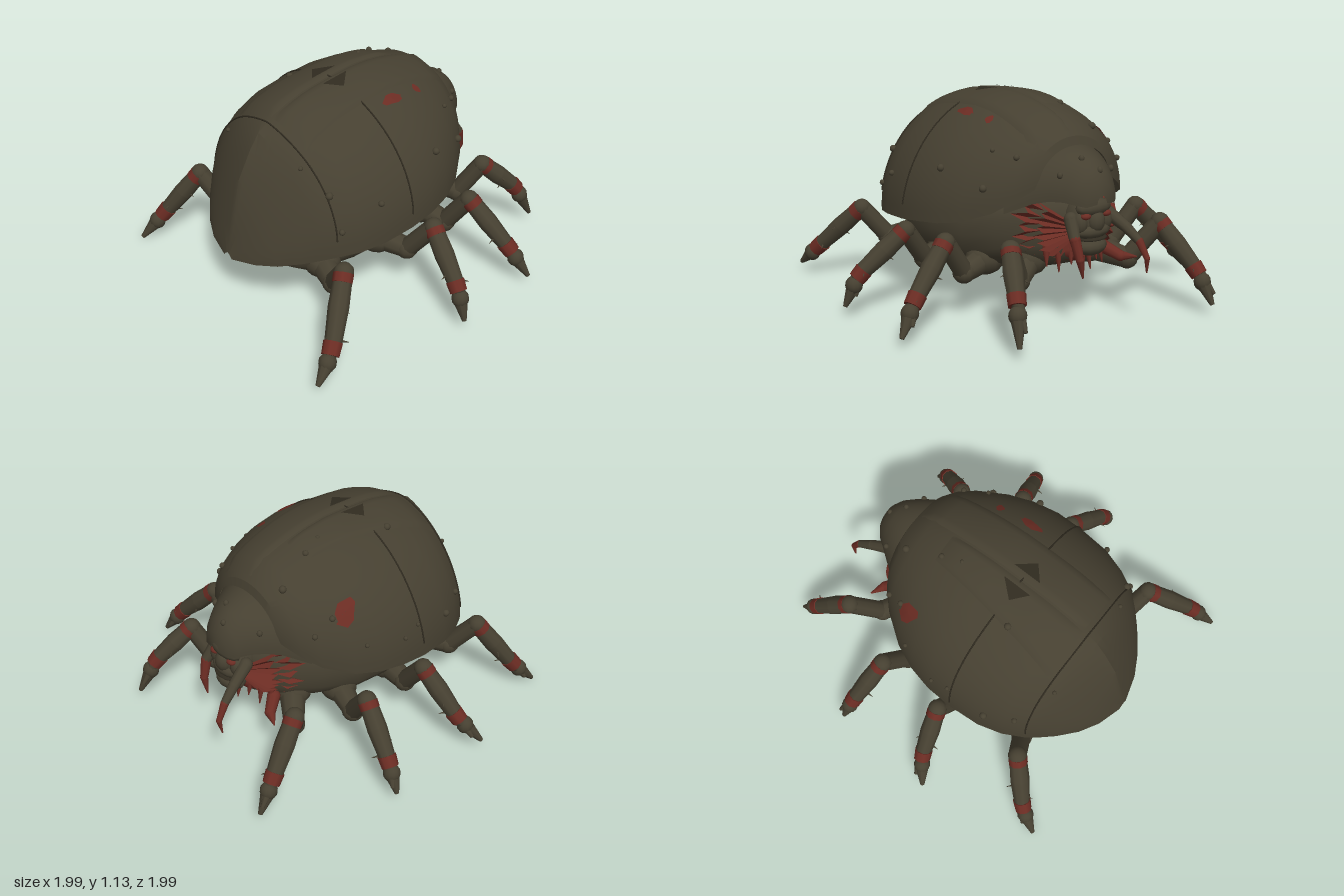
import * as THREE from 'three';
import { toCreasedNormals } from 'three/addons/utils/BufferGeometryUtils.js';

const paint = (name, color, side = THREE.DoubleSide) => {
  const m = new THREE.MeshStandardMaterial({ color, side });
  m.name = name;
  return m;
};
const V = (x, y, z) => new THREE.Vector3(x, y, z);

// Shell sections: x, half width, rim height, top height, pointedness
const SHELL = [
  [-0.88, 0.03, 0.32, 0.35, 0.7], [-0.84, 0.17, 0.34, 0.52, 0.65], [-0.78, 0.28, 0.36, 0.75, 0.55],
  [-0.7, 0.38, 0.39, 0.89, 0.4], [-0.64, 0.44, 0.41, 0.97, 0.22], [-0.57, 0.5, 0.43, 1.01, 0.06],
  [-0.46, 0.56, 0.44, 1.055, 0.04], [-0.33, 0.6, 0.455, 1.09, 0.04], [-0.15, 0.615, 0.47, 1.11, 0.04],
  [0, 0.61, 0.49, 1.12, 0.04], [0.14, 0.58, 0.505, 1.11, 0.04], [0.27, 0.525, 0.53, 1.085, 0.04],
  [0.41, 0.425, 0.59, 1.045, 0.03], [0.48, 0.35, 0.65, 1.0, 0.02], [0.525, 0.27, 0.7, 0.955, 0],
  [0.54, 0.23, 0.72, 0.91, 0],
];
const HOOD = [
  [0.42, 0.36, 0.58, 0.92, 0], [0.53, 0.26, 0.64, 0.91, 0], [0.6, 0.21, 0.66, 0.885, 0],
  [0.66, 0.165, 0.66, 0.86, 0], [0.71, 0.13, 0.65, 0.815, 0], [0.745, 0.09, 0.64, 0.76, 0],
  [0.758, 0.03, 0.65, 0.69, 0],
];
// Belly sections: x, half width, bottom, top
const BELLY = [
  [-0.64, 0.02, 0.32, 0.4], [-0.63, 0.28, 0.21, 0.48], [-0.55, 0.36, 0.165, 0.55], [-0.35, 0.43, 0.17, 0.6],
  [-0.1, 0.46, 0.18, 0.62], [0.15, 0.44, 0.2, 0.64], [0.35, 0.37, 0.24, 0.68], [0.5, 0.27, 0.28, 0.68],
  [0.6, 0.16, 0.33, 0.66], [0.63, 0.02, 0.45, 0.52],
];

const arch = ([x, w, rim, top, k], a) =>
  V(x, rim + (top - rim) * THREE.MathUtils.lerp(Math.cos(a), 1 - Math.abs(Math.sin(a)), k), w * Math.sin(a));

// Point on the shell above (x, z)
function onShell(x, z, lift = 0) {
  let i = 0;
  while (i < SHELL.length - 2 && SHELL[i + 1][0] < x) i++;
  const t = (x - SHELL[i][0]) / (SHELL[i + 1][0] - SHELL[i][0]);
  const s = SHELL[i].map((v, n) => THREE.MathUtils.lerp(v, SHELL[i + 1][n], t));
  const p = arch(s, Math.asin(THREE.MathUtils.clamp(z / s[1], -1, 1)));
  return p.addScaledVector(V(p.x * 0.5, p.y - 0.45, p.z).normalize(), lift);
}

function loft(rows) {
  const n = rows[0].length, idx = [];
  for (let i = 0; i < rows.length - 1; i++)
    for (let j = 0; j < n - 1; j++) {
      const a = i * n + j, b = a + n;
      idx.push(a, a + 1, b, a + 1, b + 1, b);
    }
  const g = new THREE.BufferGeometry().setFromPoints(rows.flat());
  g.setIndex(idx);
  g.computeVertexNormals();
  return g;
}
const range = (n, f) => Array.from({ length: n + 1 }, (_, i) => f(i / n, i));

export function createModel() {
  const root = new THREE.Group();
  root.name = 'beetleCreature';
  const olive = paint('olive chitin', 0x464031);
  const red = paint('raw red flesh', 0x6b2c23);
  const dark = paint('dark seam', 0x302b20);

  const add = (name, geo, mat, parent = root) => {
    const m = new THREE.Mesh(geo, mat);
    m.name = name;
    parent.add(m);
    return m;
  };
  const limb = (name, a, b, r0, r1, mat, parent = root) => {
    const d = b.clone().sub(a);
    const m = add(name, new THREE.CylinderGeometry(r1, r0, d.length(), 9), mat, parent);
    m.position.copy(a).addScaledVector(d, 0.5);
    m.quaternion.setFromUnitVectors(V(0, 1, 0), d.normalize());
  };
  const ball = (name, p, sx, sy, sz, mat, parent = root) => {
    const m = add(name, new THREE.SphereGeometry(1, 12, 8), mat, parent);
    m.position.copy(p);
    m.scale.set(sx, sy, sz);
  };

  // Body shells
  const archRows = (secs) => secs.map((s) => range(32, (t) => arch(s, (t - 0.5) * Math.PI)));
  add('shell', toCreasedNormals(loft(archRows(SHELL)), 0.4), olive);
  add('headHood', loft(archRows(HOOD)), olive);
  const pw = (v, e) => Math.sign(v) * Math.abs(v) ** e;
  add('belly', loft(BELLY.map(([x, w, b, t]) => range(24, (u) => {
    const a = u * Math.PI * 2;
    return V(x, (b + t) / 2 + (t - b) / 2 * pw(-Math.cos(a), 0.75), -w * pw(Math.sin(a), 0.75));
  }))), olive);

  // Raised back plates whose outer edge runs from z0 to z1, sunk at the borders
  const plate = (name, s, x0, x1, z0, z1) =>
    add(name, loft(range(16, (u, i) => range(10, (v, j) => {
      const edge = i === 0 || i === 16 || j === 0 || j === 10;
      const outer = z0 + (z1 - z0) * u;
      const z = s > 0 ? 0.006 + (outer - 0.006) * v : -outer + (outer - 0.006) * v;
      return onShell(x0 + (x1 - x0) * u, z, edge ? 0.001 : 0.012);
    }))), olive);
  plate('rightBackPlate', -1, -0.55, 0.27, 0.28, 0.16);
  plate('leftBackPlate', 1, -0.55, 0.5, 0.25, 0.23);

  // Wounds
  for (const [x, z, a, b] of [[0.25, -0.42, 0.065, 0.04], [0, 0.295, 0.07, 0.028], [0.19, 0.28, 0.025, 0.025]]) {
    const rows = [1, 0.5, 0].map((r) => range(10, (t, i) => {
      const k = r * (i % 3 ? 1 : 0.8), q = t * Math.PI * 2;
      return onShell(x + a * k * Math.cos(q), z + b * k * Math.sin(q), 0.01);
    }));
    add('redWound', loft(rows), red);
  }

  // Seams and triangular vents
  for (const [x, w] of [[-0.57, 0.495], [-0.15, 0.61]])
    add('shellSeam', new THREE.TubeGeometry(new THREE.CatmullRomCurve3(
      range(30, (t) => onShell(x + 0.01 * Math.sin(t * 9), w * Math.sin((t - 0.5) * 3.1), 0.002))), 60, 0.0045, 5), dark);
  for (const s of [-1, 1])
    add('backVent', new THREE.BufferGeometry().setFromPoints(
      [[-0.24, 0.04], [-0.08, 0.04], [-0.17, 0.12]].map(([x, z]) => onShell(x, s * z, 0.018))), dark)
      .geometry.computeVertexNormals();

  // Knobs on the shell
  const knobs = [[-0.6, -0.3], [-0.5, -0.5], [-0.55, 0.42], [-0.6, 0.27], [-0.33, 0.56], [-0.24, -0.22],
    [0.14, -0.1], [0.25, -0.13], [0.1, 0.52], [0.33, 0.36], [0.32, -0.4], [0.45, -0.18], [-0.02, -0.59], [0.45, 0.3],
    [-0.35, -0.57], [0.2, -0.53], [-0.54, 0.5], [0.36, 0.44], [-0.12, -0.58], [0.42, -0.38]];
  knobs.forEach(([x, z], i) => {
    const r = 0.012 + 0.004 * (i % 3);
    ball('shellKnob', onShell(x, z, 0.006), r, r, r, olive);
  });
  for (const [x, y, z] of [[0.64, 0.865, 0.04], [0.71, 0.81, -0.02], [0.62, 0.79, 0.16], [0.61, 0.78, -0.18]])
    ball('hoodKnob', V(x, y, z), 0.015, 0.018, 0.015, olive);

  // Legs: hip, knee, ankle, tip
  const legs = [
    [[-0.5, 0.27, 0.3], [-0.62, 0.425, 0.6], [-0.86, 0.16, 0.77], [-0.99, 0.05, 0.81]],
    [[-0.14, 0.27, 0.34], [-0.04, 0.44, 0.66], [-0.11, 0.22, 0.91], [-0.13, 0.06, 0.98]],
    [[0.2, 0.29, 0.32], [0.28, 0.445, 0.62], [0.36, 0.2, 0.86], [0.41, 0.05, 0.96]],
    [[0.42, 0.32, 0.2], [0.59, 0.45, 0.44], [0.78, 0.26, 0.54], [0.87, 0.06, 0.59]],
    [[-0.45, 0.27, -0.3], [-0.6, 0.43, -0.6], [-0.76, 0.15, -0.76], [-0.88, 0.01, -0.82]],
    [[-0.14, 0.27, -0.34], [-0.1, 0.44, -0.66], [-0.15, 0.2, -0.88], [-0.23, 0.06, -0.99]],
    [[0.2, 0.29, -0.32], [0.3, 0.445, -0.64], [0.36, 0.2, -0.87], [0.38, 0.06, -0.95]],
    [[0.42, 0.32, -0.2], [0.66, 0.455, -0.49], [0.88, 0.22, -0.565], [0.98, 0.06, -0.58]],
  ];
  legs.forEach((pts) => {
    const [hip, knee, ankle, tip] = pts.map((p) => V(...p));
    const leg = new THREE.Group();
    leg.name = 'leg';
    root.add(leg);
    const elbow = hip.clone().lerp(knee, 0.55).setY(0.25);
    const shin = (t) => knee.clone().lerp(ankle, t);
    const toe = (t) => ankle.clone().lerp(tip, t);
    ball('hip', hip, 0.1, 0.09, 0.11, olive, leg);
    limb('thigh', hip, elbow, 0.075, 0.055, olive, leg);
    ball('elbow', elbow, 0.06, 0.058, 0.06, olive, leg);
    limb('upperLeg', elbow, knee, 0.052, 0.05, olive, leg);
    ball('knee', knee, 0.052, 0.05, 0.052, olive, leg);
    limb('lowerLeg', knee, shin(0.45), 0.048, 0.054, olive, leg);
    limb('shin', shin(0.45), ankle, 0.054, 0.042, olive, leg);
    limb('kneeBand', shin(0.02), shin(0.14), 0.053, 0.052, red, leg);
    limb('ankleBand', shin(0.87), toe(0.1), 0.05, 0.046, red, leg);
    ball('foot', toe(0.3), 0.046, 0.05, 0.046, olive, leg);
    limb('claw', toe(0.3), tip, 0.042, 0.012, olive, leg);
    limb('sideClaw', ankle, toe(0.65).add(V(0.03, 0, -0.02)), 0.036, 0.01, olive, leg);
    for (let i = 0; i < 4; i++) {
      const p = shin(0.4 + i * 0.15);
      limb('bristle', p, p.clone().add(V(0.075 * Math.sin(i * 2.4), -0.02, 0.075 * Math.cos(i * 2.4))), 0.012, 0.001, olive, leg);
    }
  });

  // Face
  ball('skull', V(0.62, 0.54, 0), 0.11, 0.15, 0.12, olive);
  ball('brow', V(0.69, 0.62, 0), 0.05, 0.045, 0.11, olive);
  ball('snout', V(0.71, 0.55, 0), 0.045, 0.06, 0.05, olive);
  ball('muzzle', V(0.68, 0.5, 0), 0.065, 0.045, 0.11, olive);
  ball('mouth', V(0.695, 0.46, 0), 0.05, 0.012, 0.085, dark);
  ball('jaw', V(0.67, 0.415, 0), 0.07, 0.05, 0.095, olive);
  ball('throat', V(0.55, 0.39, 0), 0.09, 0.08, 0.15, red);
  for (const s of [-1, 1]) {
    ball('cheek', V(0.68, 0.545, s * 0.08), 0.045, 0.06, 0.04, olive);
    ball('eyeSocket', V(0.71, 0.585, s * 0.065), 0.025, 0.018, 0.03, red);

    // Ragged frill around the face, in two layers
    for (const [size, cx] of [[1, 0.58], [0.78, 0.64]]) {
      const edge = range(18, (t, i) => {
        const a = 0.72 - t * 2.0, r = size * (i % 2 ? 0.22 : 0.25 + 0.03 * Math.cos(i * 1.7));
        return V(cx - r * 0.5 + (i % 2) * 0.04, 0.51 + r * Math.sin(a), s * (0.07 + r * Math.cos(a)));
      });
      add('frill', toCreasedNormals(loft([edge.map(() => V(cx + 0.05, 0.51, s * 0.06)), edge]), 0.3), red);
    }
    // Hanging flesh strands
    for (let i = 0; i < 4; i++) {
      const z = s * (0.02 + i * 0.055), x = 0.62 - i * 0.025;
      limb('fleshStrand', V(x, 0.42, z), V(x + 0.03, 0.28 + 0.035 * (i % 2), z * 1.1), 0.026, 0.003, red);
    }
  }

  // Feelers beside the mouth, red from the given joint on
  const feeler = (pts, redFrom) => pts.slice(1).forEach((p, i) => {
    const r = 0.036 - i * 0.007, mat = i < redFrom ? olive : red;
    ball('feelerJoint', V(...pts[i]), r, r, r, mat);
    limb('feeler', V(...pts[i]), V(...p), r, i === pts.length - 2 ? 0.004 : r - 0.007, mat);
  });
  feeler([[0.66, 0.57, -0.12], [0.77, 0.51, -0.15], [0.85, 0.45, -0.17], [0.9, 0.37, -0.18], [0.89, 0.29, -0.19]], 2);
  feeler([[0.66, 0.57, 0.12], [0.72, 0.48, 0.14], [0.75, 0.38, 0.13], [0.75, 0.28, 0.11]], 1);
  feeler([[0.55, 0.34, -0.2], [0.62, 0.3, -0.25], [0.66, 0.29, -0.33]], 0);
  return root;
}
